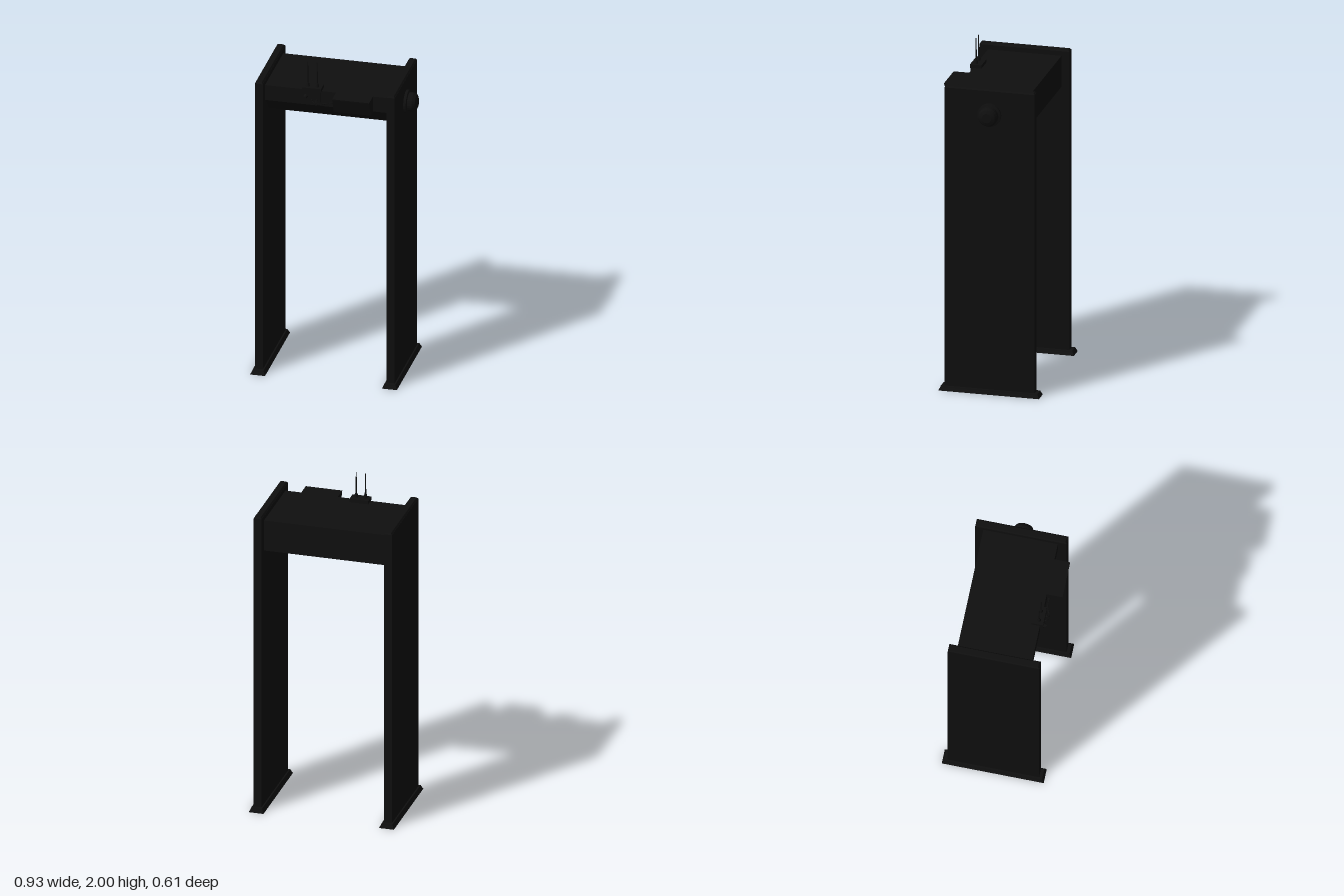
import * as THREE from 'three';

const mat = new THREE.MeshStandardMaterial({ color: 0x0f0f0f, flatShading: true });
const smooth = new THREE.MeshStandardMaterial({ color: 0x0f0f0f });

export function createModel() {
  const root = new THREE.Group();
  root.name = 'walkThroughDetector';

  const add = (name, geo, x = 0, y = 0, z = 0, parent = root, material = mat) => {
    const m = new THREE.Mesh(geo, material);
    m.name = name;
    m.position.set(x, y, z);
    parent.add(m);
    return m;
  };

  // Box standing on y = 0 whose top is drawn in by an inset
  const taperedBox = (w, h, d, inset) => {
    const g = new THREE.BoxGeometry(w, h, d);
    const p = g.attributes.position;
    for (let i = 0; i < p.count; i++) {
      if (p.getY(i) > 0) {
        p.setX(i, p.getX(i) - Math.sign(p.getX(i)) * inset);
        p.setZ(i, p.getZ(i) - Math.sign(p.getZ(i)) * inset);
      }
    }
    g.translate(0, h / 2, 0);
    g.computeVertexNormals();
    return g;
  };

  // Prism along x from a side profile of [z, y] points
  const prism = (points, x0, x1) => {
    const shape = new THREE.Shape(points.map(([z, y]) => new THREE.Vector2(-z, y)));
    const g = new THREE.ExtrudeGeometry(shape, { depth: x1 - x0, bevelEnabled: false });
    g.rotateY(Math.PI / 2);
    g.translate(x0, 0, 0);
    return g;
  };

  // Upright side panels on flared feet
  const zc = -0.006;
  for (const [side, x] of [['right', -0.419], ['left', 0.367]]) {
    const post = new THREE.Group();
    post.name = side + 'Post';
    post.position.set(x, 0, zc);
    root.add(post);
    add('foot', taperedBox(0.089, 0.017, 0.602, 0.008), 0, 0, 0, post);
    add('footCollar', taperedBox(0.073, 0.01, 0.586, 0.004), 0, 0.017, 0, post);
    add('panel', new THREE.BoxGeometry(0.048, 1.826, 0.54), 0, 0.94, 0, post);
    add('panelCap', taperedBox(0.048, 0.01, 0.54, 0.008), 0, 1.852, 0, post);
  }

  // Cross beam with a sloping lower front
  add('crossBeam', prism([
    [-0.228, 1.635], [0.12, 1.635], [0.212, 1.73], [0.212, 1.825], [-0.228, 1.825],
  ], -0.396, 0.344));

  // Wedge-shaped control box on the front of the beam
  add('controlBox', prism([
    [0.205, 1.727], [0.265, 1.727], [0.302, 1.815], [0.305, 1.825], [0.205, 1.825],
  ], 0.028, 0.248));

  // Siren dome on the outer face of the left panel
  const dome = [[0, 0.071], [0.028, 0.071], [0.047, 0.063], [0.057, 0.046], [0.057, 0.019],
    [0.07, 0.015], [0.07, 0]].reverse();
  const siren = add('siren', new THREE.LatheGeometry(
    dome.map(([r, h]) => new THREE.Vector2(r, h)), 24), 0.391, 1.709, -0.007);
  siren.rotation.z = -Math.PI / 2;

  // Radio unit with two aerials, straddling the beam's front edge
  const radio = new THREE.Group();
  radio.name = 'radioUnit';
  radio.position.set(-0.114, 0, 0);
  root.add(radio);
  add('radioCase', new THREE.BoxGeometry(0.114, 0.02, 0.069), 0, 1.835, 0.196, radio);
  add('radioFront', new THREE.BoxGeometry(0.106, 0.07, 0.025), 0, 1.79, 0.216, radio);
  for (const x of [-0.029, 0.027]) {
    add('aerialSocket', new THREE.CylinderGeometry(0.008, 0.012, 0.022, 12), x, 1.856, 0.201, radio);
    add('aerial', new THREE.CylinderGeometry(0.0025, 0.005, 0.135, 8), x, 1.9325, 0.201, radio);
  }
  const knob = add('knob', new THREE.CylinderGeometry(0.008, 0.013, 0.022, 12), -0.034, 1.79, 0.238, radio);
  knob.rotation.x = Math.PI / 2;
  for (const x of [0.004, 0.03]) {
    const jack = add('jack', new THREE.CylinderGeometry(0.006, 0.006, 0.014, 10), x, 1.77, 0.233, radio);
    jack.rotation.x = Math.PI / 2;
  }

  // Cables from the jacks to the control box
  const cable = (pts) => new THREE.TubeGeometry(
    new THREE.CatmullRomCurve3(pts.map((p) => new THREE.Vector3(...p))), 32, 0.003, 6);
  add('longCable', cable([[-0.11, 1.77, 0.235], [-0.098, 1.762, 0.247], [-0.075, 1.752, 0.248],
    [-0.045, 1.75, 0.235], [-0.015, 1.756, 0.226], [0.03, 1.765, 0.226]]), 0, 0, 0, root, smooth);
  add('shortCable', cable([[-0.084, 1.77, 0.235], [-0.082, 1.762, 0.246],
    [-0.06, 1.754, 0.244], [-0.02, 1.758, 0.228], [0.03, 1.765, 0.226]]), 0, 0, 0, root, smooth);
  const plug = add('plug', new THREE.CylinderGeometry(0.007, 0.007, 0.012, 10), 0.025, 1.765, 0.226);
  plug.rotation.z = Math.PI / 2;

  return root;
}
